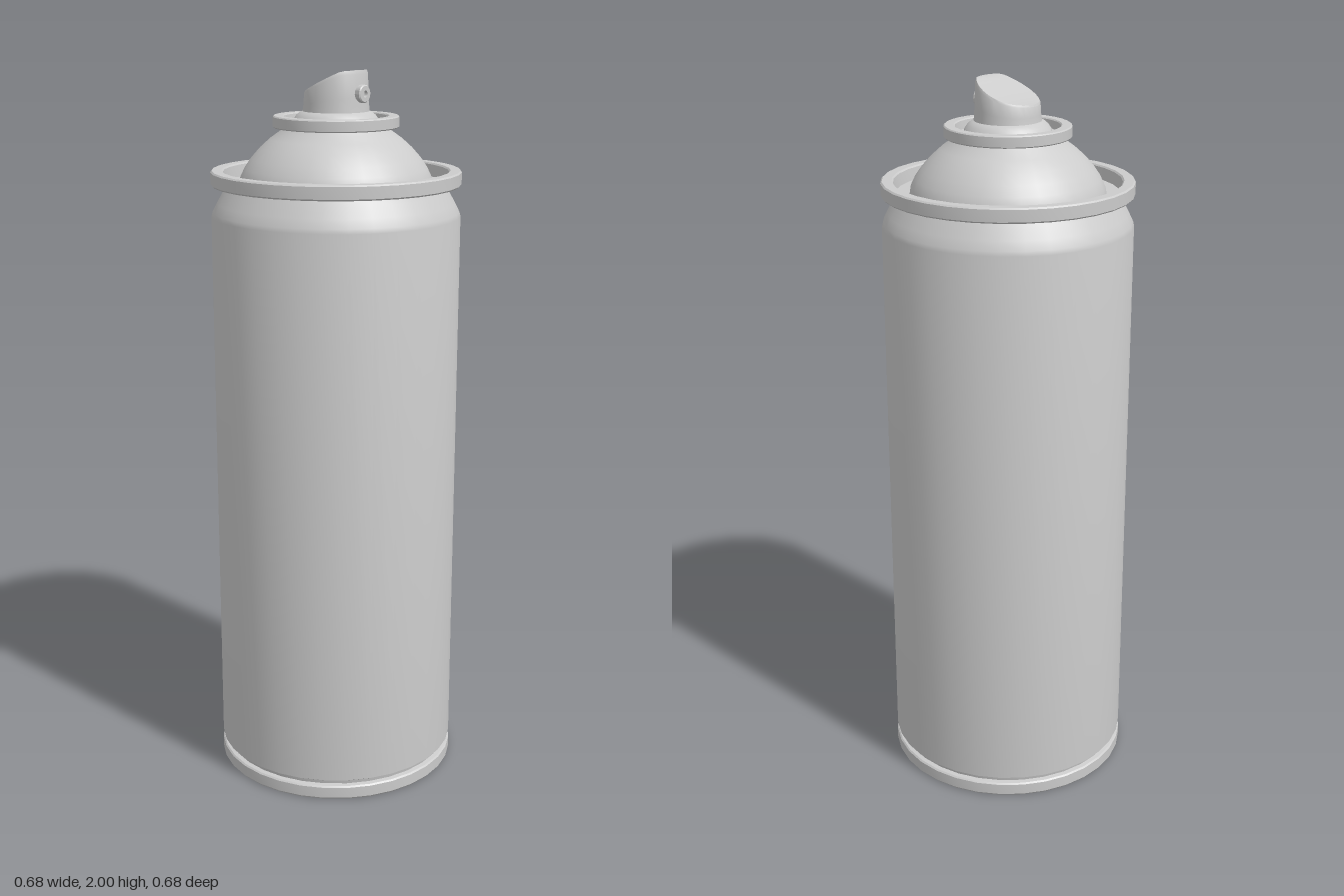
import * as THREE from 'three';
import { toCreasedNormals } from 'three/addons/utils/BufferGeometryUtils.js';

const SIDES = 32;
const material = new THREE.MeshStandardMaterial({ color: 0xcccccc, side: THREE.DoubleSide });

// Profile points are [radius, y], running from the underside, outward and up.
const lathe = (profile, sides = SIDES) =>
  new THREE.LatheGeometry(profile.map(([r, y]) => new THREE.Vector2(r, y)), sides);

// Points along an elliptical arc, angles in degrees.
function arc(cx, cy, rx, ry, from, to, steps) {
  const points = [];
  for (let i = 0; i <= steps; i++) {
    const a = THREE.MathUtils.degToRad(from + ((to - from) * i) / steps);
    points.push([cx + rx * Math.cos(a), cy + ry * Math.sin(a)]);
  }
  return points;
}

export function createModel() {
  const group = new THREE.Group();
  group.name = 'sprayCan';
  const add = (name, geometry) => {
    const mesh = new THREE.Mesh(toCreasedNormals(geometry, 0.5), material);
    mesh.name = name;
    group.add(mesh);
    return mesh;
  };

  // Concave underside and the rolled base seam
  add('base', lathe([
    ...arc(0, 0.015, 0.31, 0.11, 90, 0, 8),
    [0.312, 0], [0.338, 0], [0.342, 0.005], [0.342, 0.036], [0.338, 0.04], [0.326, 0.042],
  ]));

  // Straight wall with a rounded shoulder
  add('body', lathe([
    [0.326, 0.042], [0.328, 0.052], [0.341, 0.06], [0.341, 1.612],
    [0.338, 1.624], [0.326, 1.648], [0.31, 1.676], [0.298, 1.697],
  ]));

  // Rolled top seam, with its inner wall and the groove floor
  add('topRim', lathe([
    [0.29, 1.695], [0.338, 1.695], [0.342, 1.699], [0.342, 1.731], [0.338, 1.735],
    [0.312, 1.735], [0.308, 1.731], [0.304, 1.698], [0.26, 1.698],
  ]));

  // Dome rising out of the groove to the neck
  add('dome', lathe([
    [0.265, 1.698], [0.262, 1.715], [0.25, 1.74], [0.232, 1.766],
    [0.208, 1.793], [0.18, 1.818], [0.152, 1.838], [0.14, 1.85],
  ]));

  // Valve cup ring with a recessed floor
  add('valveCup', lathe([
    [0.138, 1.848], [0.168, 1.848], [0.171, 1.851], [0.171, 1.877], [0.168, 1.88],
    [0.144, 1.88], [0.141, 1.877], [0.138, 1.855], [0.08, 1.855],
  ]));

  // Flared skirt below the nozzle
  add('nozzleSkirt', lathe([
    [0.117, 1.855], [0.116, 1.868], [0.108, 1.88], [0.097, 1.889], [0.086, 1.893],
  ]));

  // Nozzle button: its top is bent into a scooped slope, high at the front
  const floor = 1.888;
  const nozzle = lathe([
    [0.091, floor], [0.088, 1.93], [0.086, 1.99], [0.083, 2],
    [0.068, 2], [0.052, 2], [0.035, 2], [0.018, 2], [0, 2],
  ]);
  const pos = nozzle.attributes.position;
  for (let i = 0; i < pos.count; i++) {
    const t = THREE.MathUtils.clamp((pos.getZ(i) + 0.085) / 0.15, 0, 1);
    const top = 1.939 + 0.061 * Math.pow(t, 1.4);
    pos.setY(i, floor + ((pos.getY(i) - floor) * (top - floor)) / (2 - floor));
  }
  add('nozzle', nozzle);

  // Round spray insert with a small hole, facing forward
  const tip = lathe([
    [0.024, 0], [0.024, 0.024], [0.021, 0.027], [0.009, 0.027], [0.008, 0.018], [0, 0.018],
  ], 16);
  tip.rotateX(Math.PI / 2);
  add('sprayTip', tip).position.set(0, 1.94, 0.074);

  return group;
}
